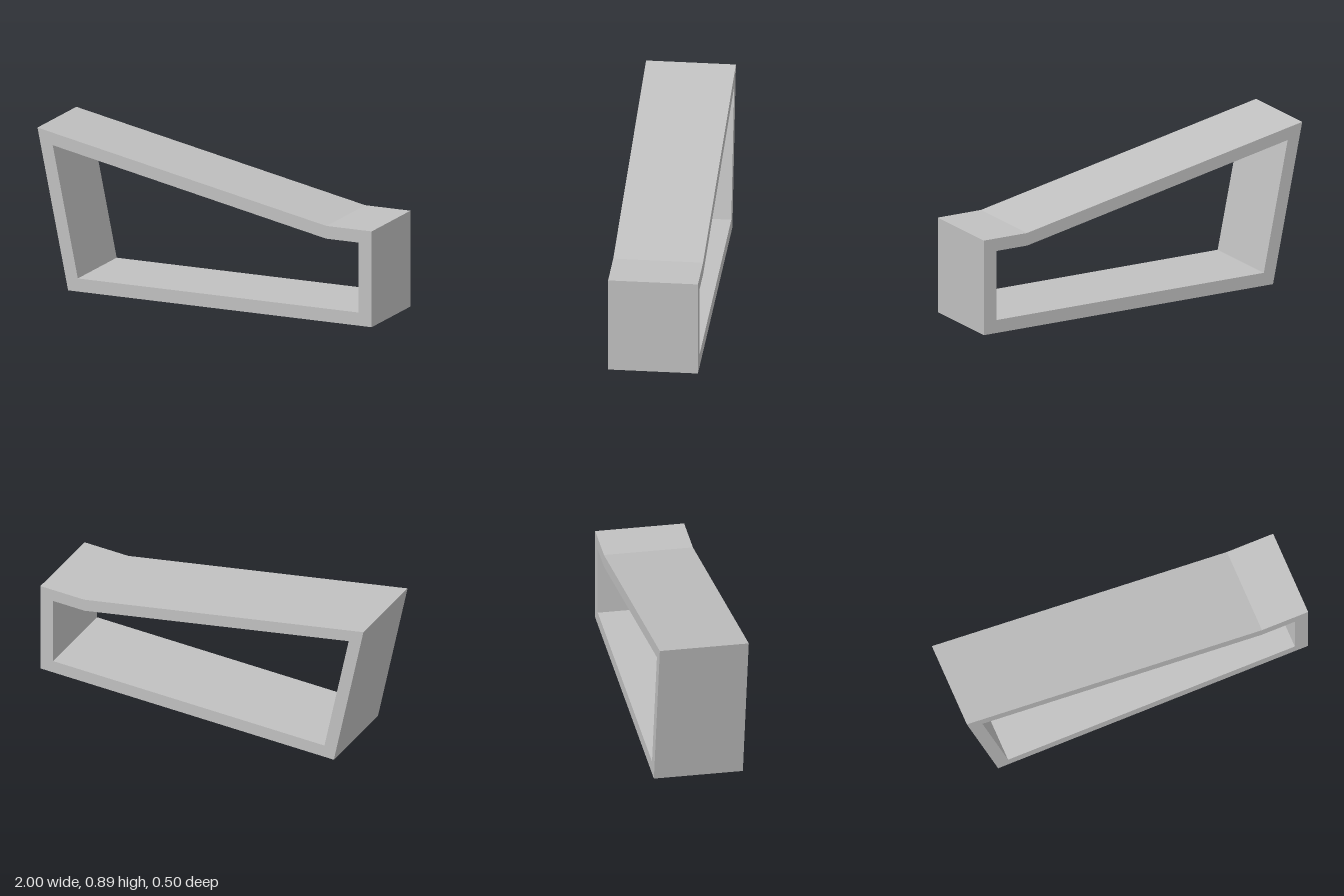
import * as THREE from 'three';

export function createModel() {
  const group = new THREE.Group();
  group.name = 'wedgeFrame';
  const grey = new THREE.MeshStandardMaterial({ color: 0xc0c0c0 });
  grey.name = 'light grey';

  const points = (list) => list.map(([x, y]) => new THREE.Vector2(x, y));

  // Outer profile: leaning left end, sloping top, short level shelf, upright right end
  const profile = new THREE.Shape(points([
    [-0.815, 0], [0.998, 0], [0.998, 0.534], [0.728, 0.534], [-0.998, 0.887],
  ]));

  // Opening through the frame, leaving walls of even thickness
  profile.holes.push(new THREE.Path(points([
    [-0.757, 0.073], [-0.907, 0.799], [0.726, 0.463], [0.92, 0.463], [0.92, 0.073],
  ])));

  const depth = 0.487;
  const geometry = new THREE.ExtrudeGeometry(profile, { depth, bevelEnabled: false });
  geometry.translate(0, 0, -depth / 2);

  const frame = new THREE.Mesh(geometry, grey);
  frame.name = 'frame';
  // The frame sits very slightly turned about the vertical
  frame.rotation.y = -0.009;
  group.add(frame);
  return group;
}
